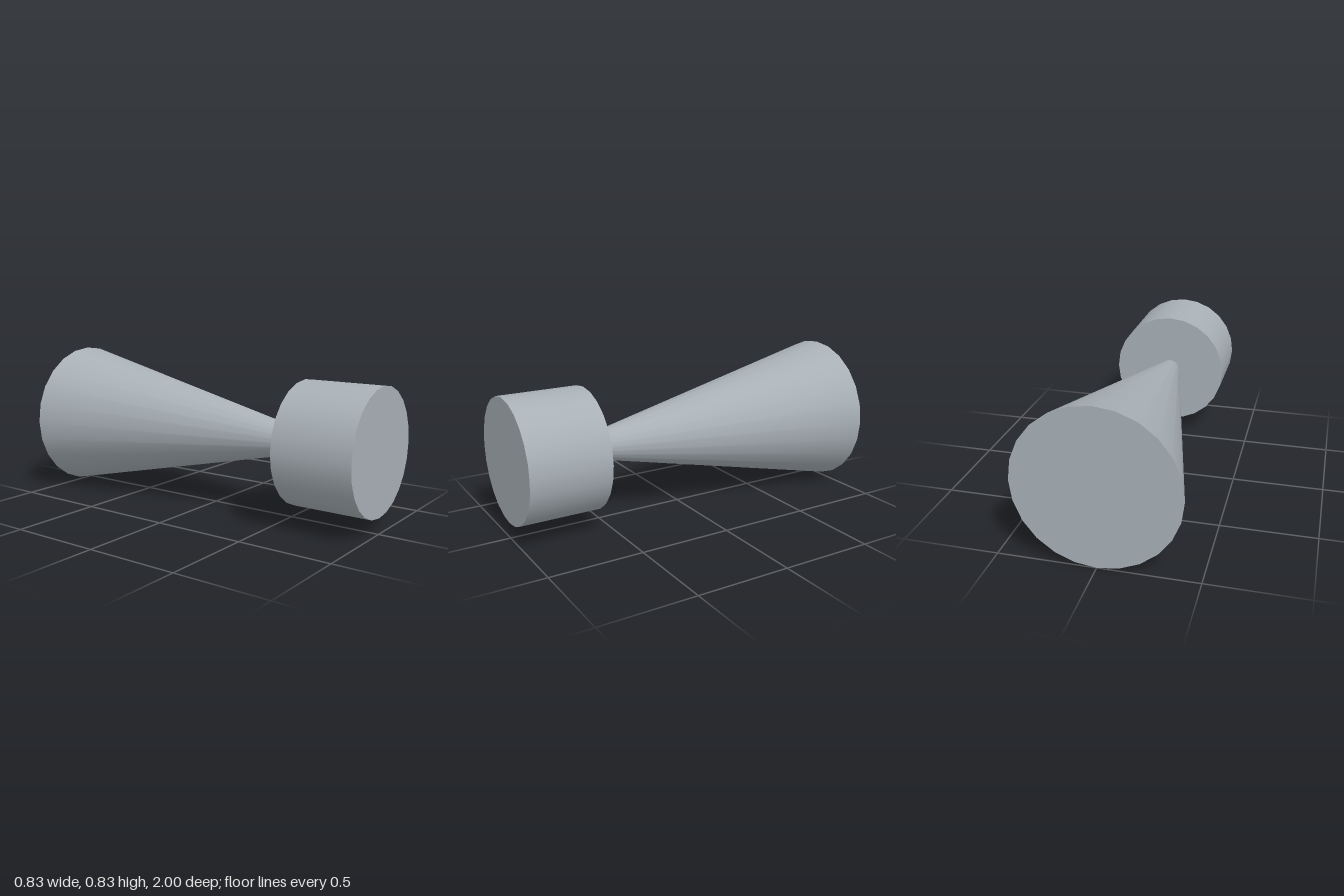
import * as THREE from 'three';

const AXIS_Y = 0.415;
const SIDES = 24;

// Capped round part lying along z, between zBack and zFront
function roundPart(name, rFront, rBack, zFront, zBack, material) {
  const geometry = new THREE.CylinderGeometry(rFront, rBack, zFront - zBack, SIDES);
  geometry.rotateX(Math.PI / 2);
  const mesh = new THREE.Mesh(geometry, material);
  mesh.name = name;
  mesh.position.set(0, AXIS_Y, (zFront + zBack) / 2);
  return mesh;
}

export function createModel() {
  const group = new THREE.Group();
  group.name = 'coneAndDrum';
  const steel = new THREE.MeshStandardMaterial({ color: 0xa8b0b6 });
  steel.name = 'steel grey';

  // Front drum
  group.add(roundPart('drum', 0.331, 0.331, 1, 0.565, steel));
  // Flared cone, its narrow end sunk slightly into the drum
  group.add(roundPart('cone', 0.052, 0.414, 0.6, -1, steel));
  return group;
}
